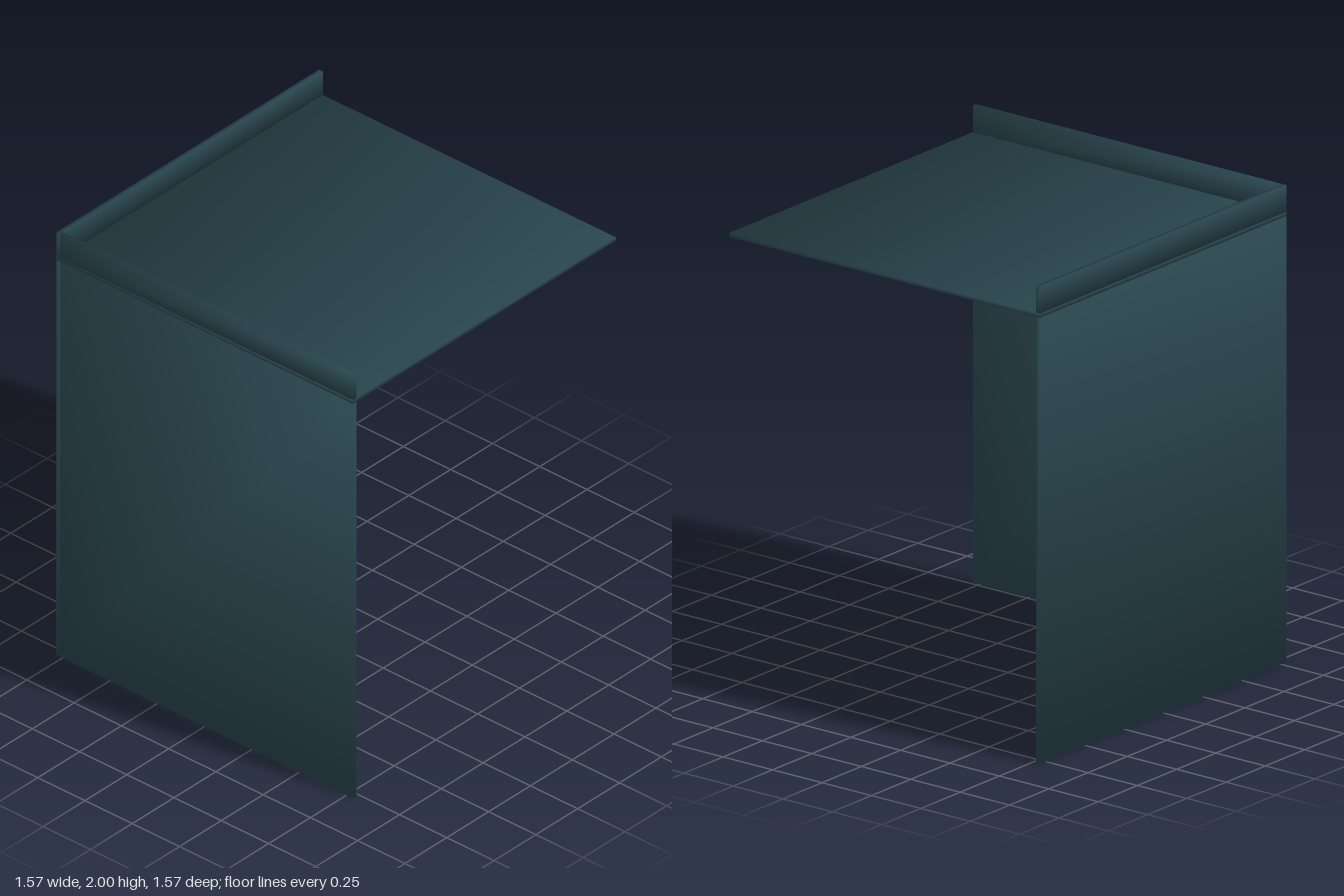
import * as THREE from 'three';

const slate = new THREE.MeshStandardMaterial({ color: 0x2a474f });
slate.name = 'dark slate';

// Panel given by its min and max corners, shaded smoothly around its corners
function panel(name, min, max) {
  const size = max.map((v, i) => v - min[i]);
  const geometry = new THREE.BoxGeometry(...size);
  const { position, normal } = geometry.attributes;
  const n = new THREE.Vector3();
  for (let i = 0; i < position.count; i++) {
    n.set(Math.sign(position.getX(i)), Math.sign(position.getY(i)), Math.sign(position.getZ(i))).normalize();
    normal.setXYZ(i, n.x, n.y, n.z);
  }
  const mesh = new THREE.Mesh(geometry, slate);
  mesh.name = name;
  mesh.position.set(...min.map((v, i) => (v + max[i]) / 2));
  return mesh;
}

// Cylinder running between two points
function rod(name, from, to, radius) {
  const a = new THREE.Vector3(...from);
  const b = new THREE.Vector3(...to);
  const mesh = new THREE.Mesh(new THREE.CylinderGeometry(radius, radius, a.distanceTo(b), 16), slate);
  mesh.name = name;
  mesh.position.copy(a).add(b).multiplyScalar(0.5);
  mesh.quaternion.setFromUnitVectors(new THREE.Vector3(0, 1, 0), b.sub(a).normalize());
  return mesh;
}

export function createModel() {
  const model = new THREE.Group();
  model.name = 'cornerShelter';

  const e = 0.785;      // outer edge
  const i = 0.765;      // inner face of the walls
  const under = 1.87;   // underside of the roof
  const over = 1.888;   // top of the roof

  // Two walls meeting in a corner, with the roof slab on top
  model.add(
    panel('sideWall', [-e, 0, -e], [-i, under, e]),
    panel('frontWall', [-i, 0, i], [e, under, e]),
    panel('roof', [-e, under, -e], [e, over, e]),
    panel('sideParapet', [-e, over, -e], [-i, 2, e]),
    panel('frontParapet', [-i, over, i], [e, 2, e]),
  );

  // Small spotlight in the inner corner, aimed out along the diagonal
  const lamp = new THREE.Group();
  lamp.name = 'cornerLamp';
  lamp.add(
    rod('lampMount', [-0.765, 1.72, 0.765], [-0.735, 1.72, 0.735], 0.02),
    rod('lampArm', [-0.745, 1.715, 0.745], [-0.725, 1.76, 0.725], 0.012),
    rod('lampBody', [-0.745, 1.745, 0.745], [-0.7, 1.778, 0.7], 0.022),
    rod('lampHead', [-0.7, 1.778, 0.7], [-0.685, 1.789, 0.685], 0.029),
  );
  model.add(lamp);
  return model;
}
